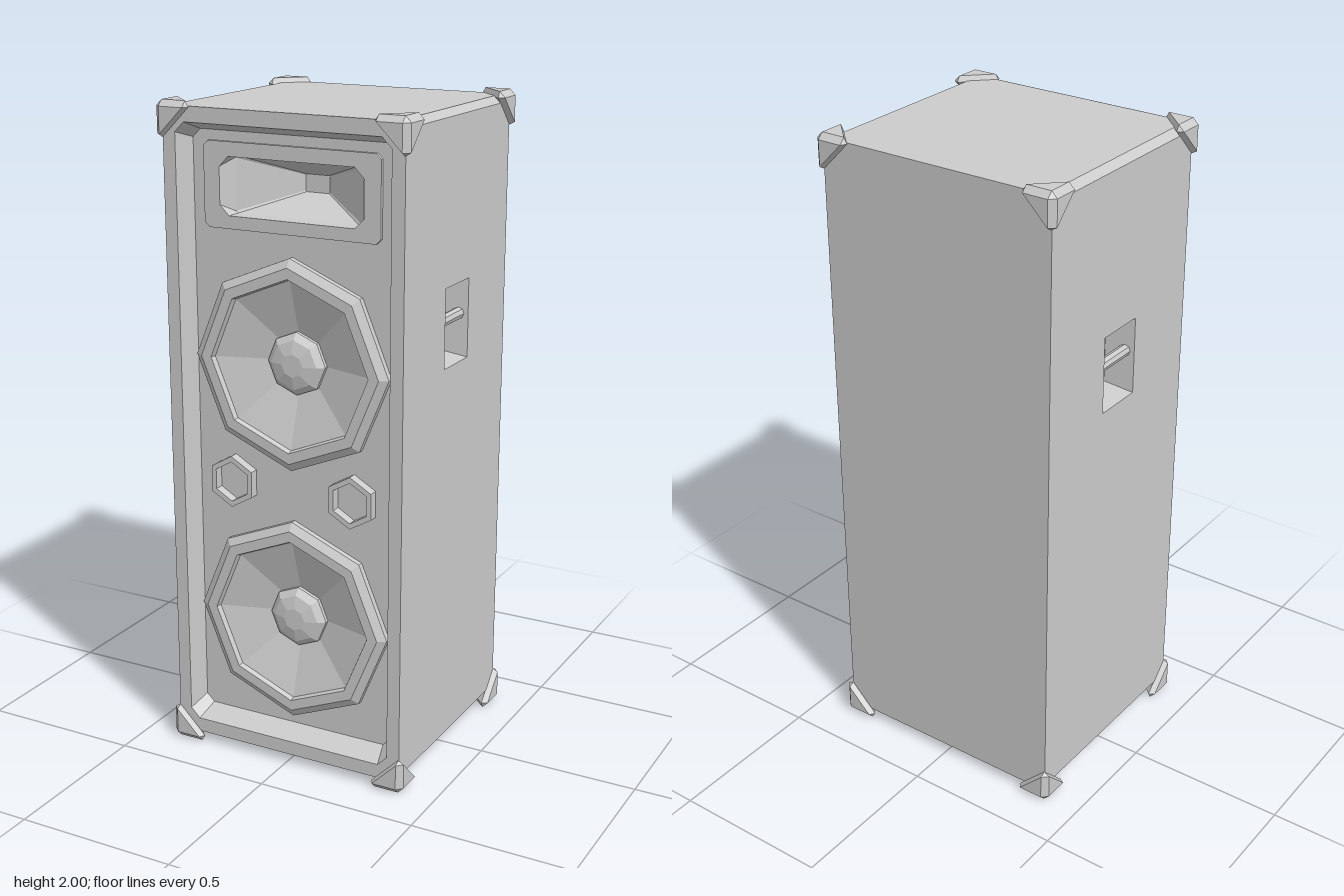
import * as THREE from 'three';
import { ConvexGeometry } from 'three/addons/geometries/ConvexGeometry.js';

const material = new THREE.MeshStandardMaterial({ color: 0xcccccc, flatShading: true, side: THREE.DoubleSide });
const FRONT = 0.35, PANEL = 0.285, SIDE = 0.385;

function add(parent, geometry, name) {
  const mesh = new THREE.Mesh(geometry, material);
  mesh.name = name;
  parent.add(mesh);
  return mesh;
}

// Counter-clockwise 2D outlines
function chamferRect(cx, cy, w, h, c) {
  return [[w, -h + c], [w, h - c], [w - c, h], [c - w, h], [-w, h - c], [-w, c - h], [c - w, -h], [w - c, -h]]
    .map(([x, y]) => new THREE.Vector2(cx + x, cy + y));
}
function rect(cx, cy, w, h) {
  return [[w, -h], [w, h], [-w, h], [-w, -h]].map(([x, y]) => new THREE.Vector2(cx + x, cy + y));
}
function polygon(cx, cy, r, sides) {
  return Array.from({ length: sides }, (_, i) => {
    const a = Math.PI / 2 + (i / sides) * Math.PI * 2;
    return new THREE.Vector2(cx + r * Math.cos(a), cy + r * Math.sin(a));
  });
}

// Flat face with holes at height z
function sheet(outline, holes, z) {
  const shape = new THREE.Shape(outline);
  shape.holes = holes.map((h) => new THREE.Path(h));
  return new THREE.ShapeGeometry(shape).translate(0, 0, z);
}

// Faceted skin through [outline, z] sections, optionally closed at the last one
function loft(sections, cap = true) {
  const rings = sections.map(([pts, z]) => pts.map((p) => new THREE.Vector3(p.x, p.y, z)));
  const out = [];
  const n = rings[0].length;
  for (let k = 0; k + 1 < rings.length; k++) {
    const p = rings[k], q = rings[k + 1];
    for (let i = 0; i < n; i++) {
      const j = (i + 1) % n;
      out.push(p[i], p[j], q[j], p[i], q[j], q[i]);
    }
  }
  const last = rings[rings.length - 1];
  if (cap) for (let i = 1; i + 1 < n; i++) out.push(last[0], last[i], last[i + 1]);
  const geometry = new THREE.BufferGeometry().setFromPoints(out);
  geometry.computeVertexNormals();
  return geometry;
}

// Side panel with a sunken handle, modelled facing +z and turned outwards
function sidePanel(sign) {
  const group = new THREE.Group();
  group.name = sign > 0 ? 'leftSide' : 'rightSide';
  const y = 1.36;
  const opening = rect(0, y, 0.08, 0.12);
  add(group, sheet(rect(0, 1.0075, FRONT, 0.9575), [opening], SIDE), 'sidePanel');
  add(group, loft([[opening, SIDE], [rect(0, y, 0.065, 0.103), SIDE - 0.09]]), 'handlePocket');
  const bar = add(group, new THREE.CylinderGeometry(0.018, 0.018, 0.154, 8), 'handleBar');
  bar.rotation.z = Math.PI / 2;
  bar.position.set(0, y + 0.012, SIDE - 0.03);
  group.rotation.y = (sign * Math.PI) / 2;
  return group;
}

// Chamfered three-way corner guard
function cornerGuard(sx, sy, sz) {
  const a = 0.107, t = 0.018, s = 0.01;
  const local = [];
  const base = [[t, t, 0], [a - s, t, 0], [t, a - s, 0], [a, t, t]];
  for (const [u, v, w] of base) local.push([u, v, w], [w, u, v], [v, w, u]);
  return new ConvexGeometry(local.map(([u, v, w]) =>
    new THREE.Vector3(sx * (0.402 - u), 1 + sy * (1 - v), sz * (0.37 - w))));
}

export function createModel() {
  const model = new THREE.Group();
  model.name = 'loudspeaker';

  // Cabinet shell
  const outline = [[0.385, 0.05], [0.385, 1.965], [0.363, 1.985], [-0.363, 1.985],
    [-0.385, 1.965], [-0.385, 0.05], [-0.363, 0.03], [0.363, 0.03]].map(([x, y]) => new THREE.Vector2(x, y));
  const rimEdge = chamferRect(0, 1.007, 0.344, 0.933, 0.03);
  const panelEdge = chamferRect(0, 1.0105, 0.325, 0.9045, 0.025);
  add(model, sheet(outline, [rimEdge], FRONT), 'frontRim');
  add(model, loft([[rimEdge, FRONT], [panelEdge, PANEL]], false), 'recessWall');
  const back = add(model, sheet(outline, [], FRONT), 'backPanel');
  back.rotation.y = Math.PI;
  const lid = [1, 2, 3, 4].map((i) => outline[i]);
  const floor = [5, 6, 7, 0].map((i) => outline[i]);
  add(model, loft([[lid, -FRONT], [lid, FRONT - 0.001]], false), 'topPanel');
  add(model, loft([[floor, -FRONT], [floor, FRONT - 0.001]], false), 'bottomPanel');
  for (const s of [-1, 1]) model.add(sidePanel(s));

  // Baffle with cut-outs
  const hornY = 1.758, wooferYs = [1.253, 0.456], portY = 0.872;
  const mouth = chamferRect(0, hornY, 0.233, 0.085, 0.03);
  const holes = [mouth, ...wooferYs.map((y) => polygon(0, y, 0.3, 8)),
    ...[-1, 1].map((s) => polygon(s * 0.2, portY, 0.07, 6))];
  add(model, sheet(panelEdge, holes, PANEL), 'baffle');

  // Horn with its mounting plate
  const plate = (w, h) => chamferRect(0, hornY + 0.002, w, h, 0.015);
  add(model, loft([
    [plate(0.285, 0.125), PANEL],
    [plate(0.285, 0.125), PANEL + 0.01],
    [mouth, PANEL + 0.01],
    [chamferRect(0, hornY, 0.203, 0.083, 0.006), PANEL - 0.03],
    [chamferRect(0, hornY, 0.04, 0.026, 0.003), PANEL - 0.15],
  ]), 'horn');

  // Woofers: surround ring, cone and domed cap
  const wooferProfile = [[0.318, 0], [0.318, 0.018], [0.293, 0.034], [0.26, 0.034], [0.255, 0.018],
    [0.095, -0.03], [0.095, -0.018], [0.075, 0], [0.035, 0.01]];
  for (const y of wooferYs) {
    add(model, loft(wooferProfile.map(([r, z]) => [polygon(0, y, r, 8), PANEL + z])), 'woofer');
  }

  // Hexagonal ports
  const portProfile = [[0.08, 0], [0.08, 0.03], [0.062, 0.03], [0.062, 0.0]];
  for (const s of [-1, 1]) {
    add(model, loft(portProfile.map(([r, z]) => [polygon(s * 0.2, portY, r, 6), PANEL + z])), 'port');
  }

  // Corner guards
  for (const sx of [-1, 1]) for (const sy of [-1, 1]) for (const sz of [-1, 1]) {
    add(model, cornerGuard(sx, sy, sz), 'cornerGuard');
  }
  return model;
}
